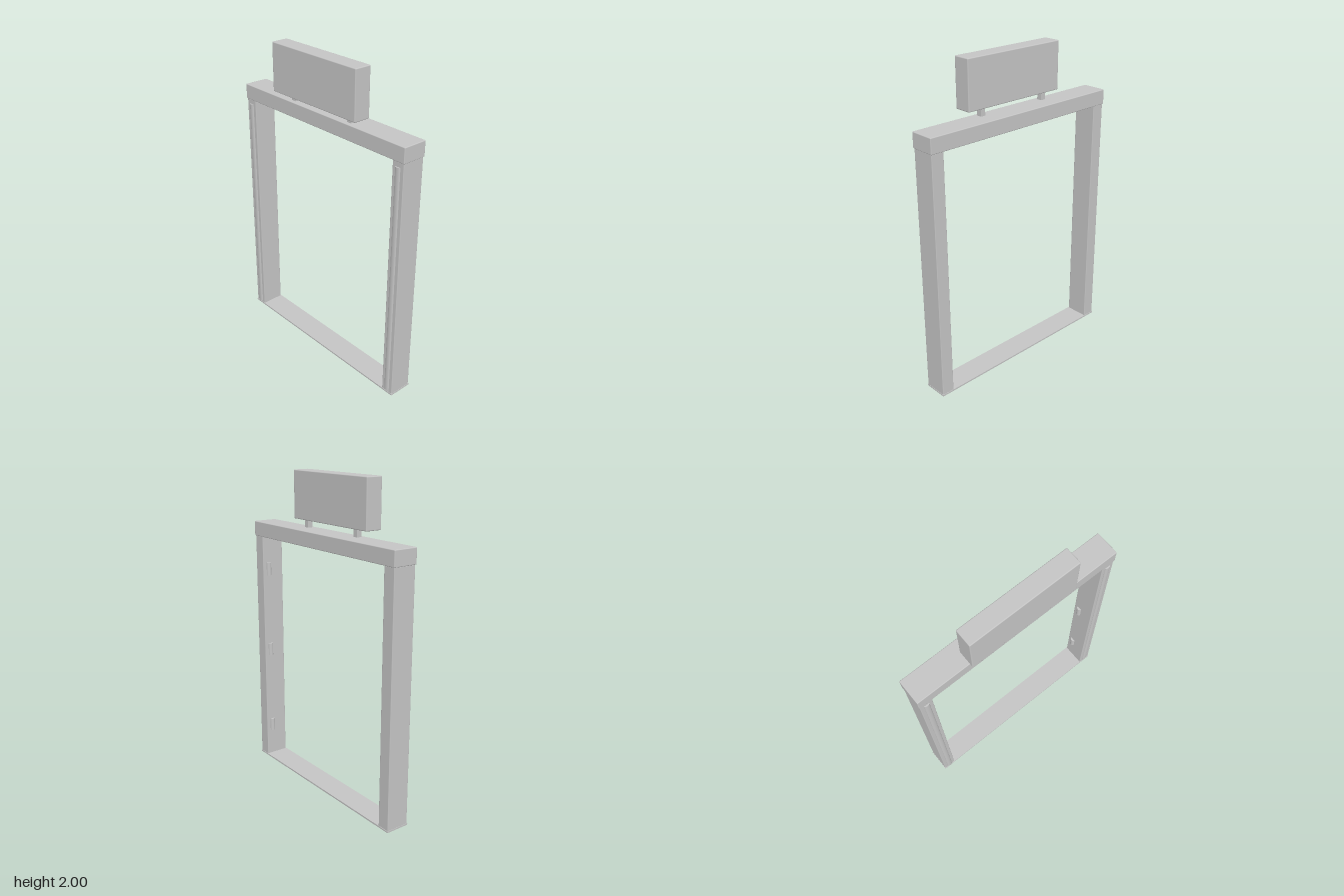
import * as THREE from 'three';
import { RoundedBoxGeometry } from 'three/addons/geometries/RoundedBoxGeometry.js';

export function createModel() {
  const group = new THREE.Group();
  const grey = new THREE.MeshStandardMaterial({ color: 0xc4c4c4 });
  grey.name = 'light grey';

  const add = (name, geometry, x, y, z) => {
    const mesh = new THREE.Mesh(geometry, grey);
    mesh.name = name;
    mesh.position.set(x, y, z);
    group.add(mesh);
    return mesh;
  };
  // Box given by its limits on each axis, with softened edges when r > 0
  const box = (name, [x0, x1], [y0, y1], [z0, z1], r = 0) => {
    const size = [x1 - x0, y1 - y0, z1 - z0];
    const geometry = r ? new RoundedBoxGeometry(...size, 2, r) : new THREE.BoxGeometry(...size);
    return add(name, geometry, (x0 + x1) / 2, (y0 + y1) / 2, (z0 + z1) / 2);
  };

  // Frame: threshold plate and header beam
  box('threshold', [-0.06, 0.095], [0, 0.01], [-0.687, 0.687]);
  box('headerBeam', [-0.062, 0.097], [1.56, 1.655], [-0.69, 0.69], 0.005);

  for (const s of [-1, 1]) {
    const span = (a, b) => (s > 0 ? [a, b] : [-b, -a]);
    // Upright posts, with a slim bulging strip along the outer face
    box('post', [-0.057, 0.092], [0.005, 1.562], span(0.603, 0.685), 0.004);
    const strip = add('postStrip', new THREE.CylinderGeometry(0.018, 0.018, 1.51, 20), -0.057, 0.775, s * 0.643);
    strip.scale.x = 0.5;
    // Short legs carrying the sign
    box('signLeg', [-0.036, -0.003], [1.65, 1.705], span(0.224, 0.257));
  }

  // Rounded sensors on the inner face of one post
  for (const y of [0.228, 0.785, 1.343])
    add('sensor', new THREE.CylinderGeometry(0.017, 0.017, 0.085, 24), 0.05, y, 0.605);

  // Sign box on top
  box('signBox', [-0.1, 0.01], [1.7, 2.0], [-0.354, 0.354], 0.006);

  return group;
}
